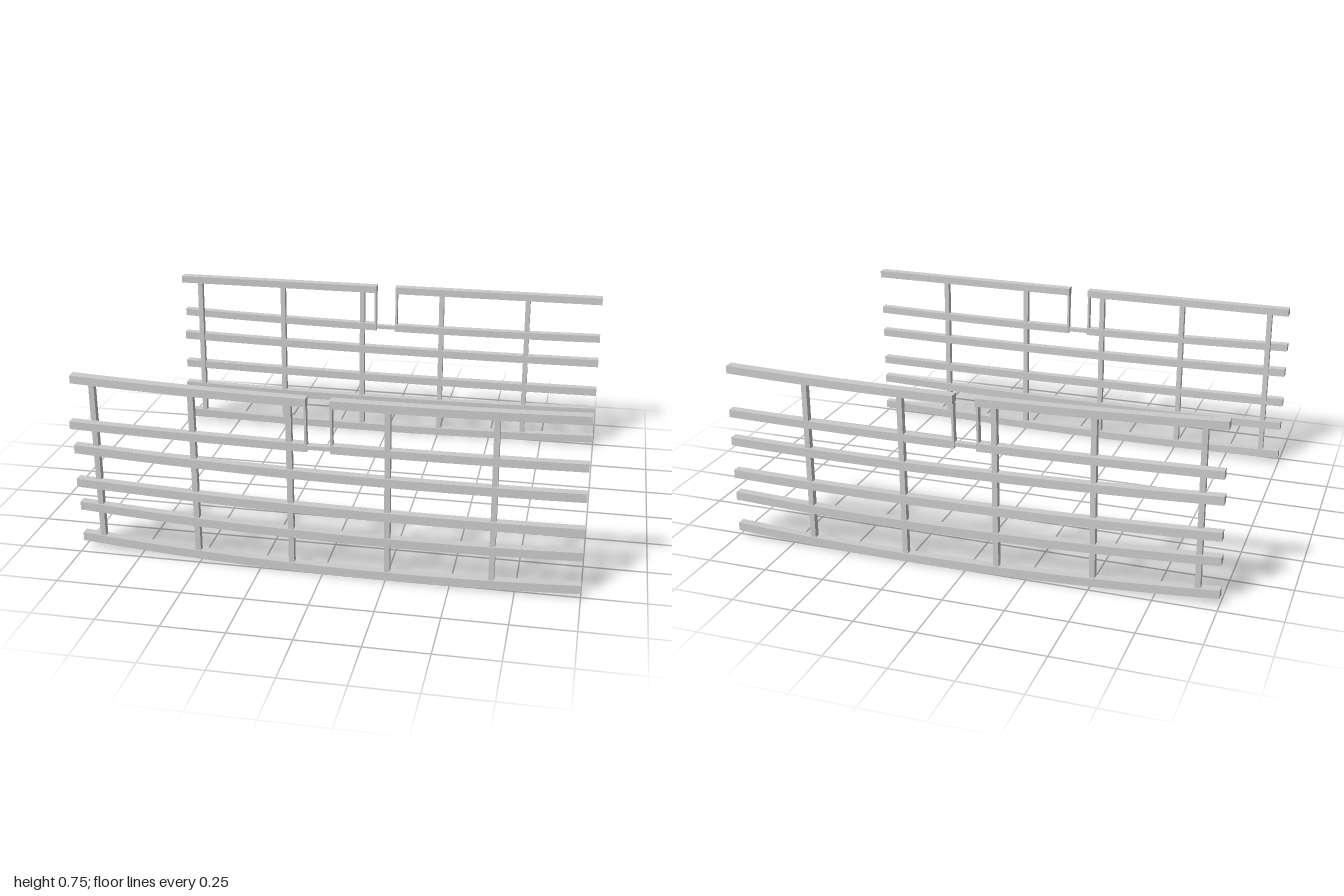
import * as THREE from 'three';

const material = new THREE.MeshStandardMaterial({ color: 0xcccccc, flatShading: true });

// Smooth bend through values given at x = -1, 0.25 and 1
function bend([a, b, c]) {
  const s1 = (b - a) / 1.25, s2 = (c - b) / 0.75, k = (s2 - s1) / 2;
  return x => a + s1 * (x + 1) + k * (x + 1) * (x - 0.25);
}

// Rails, top to bottom: height and outward distance at the three stations, section size
const rails = [
  { name: 'topRail', y: [0.732, 0.719, 0.725], z: [0.704, 0.75, 0.735], h: 0.032, d: 0.041, split: true },
  { name: 'secondRail', y: [0.555, 0.533, 0.54], z: [0.742, 0.742, 0.742], h: 0.032, d: 0.035, split: true },
  { name: 'thirdRail', y: [0.443, 0.416, 0.42], z: [0.717, 0.746, 0.744], h: 0.035, d: 0.036 },
  { name: 'fourthRail', y: [0.298, 0.273, 0.276], z: [0.717, 0.746, 0.744], h: 0.035, d: 0.036 },
  { name: 'fifthRail', y: [0.189, 0.163, 0.177], z: [0.7, 0.742, 0.742], h: 0.035, d: 0.036 },
  { name: 'bottomRail', y: [0.049, 0.018, 0.038], z: [0.696, 0.742, 0.742], h: 0.035, d: 0.036 },
].map(r => ({ ...r, y: bend(r.y), z: bend(r.z) }));

const gap = [-0.055, 0.035];

// Bar running along x, following the bend of its rail
function railBar(rail, x0, x1, side) {
  const geo = new THREE.BoxGeometry(x1 - x0, rail.h, rail.d, 12, 1, 1);
  const p = geo.attributes.position;
  for (let i = 0; i < p.count; i++) {
    const x = p.getX(i) + (x0 + x1) / 2;
    p.setXYZ(i, x, p.getY(i) + rail.y(x), p.getZ(i) + side * rail.z(x));
  }
  geo.computeVertexNormals();
  const mesh = new THREE.Mesh(geo, material);
  mesh.name = rail.name;
  return mesh;
}

// Upright between two rails, leaning to meet both
function upright(name, x, upper, lower, w, d, side) {
  const geo = new THREE.BoxGeometry(w, 1, d);
  const p = geo.attributes.position;
  for (let i = 0; i < p.count; i++) {
    const rail = p.getY(i) > 0 ? upper : lower;
    p.setXYZ(i, p.getX(i) + x, rail.y(x), p.getZ(i) + side * rail.z(x));
  }
  geo.computeVertexNormals();
  const mesh = new THREE.Mesh(geo, material);
  mesh.name = name;
  return mesh;
}

function railing(name, side) {
  const group = new THREE.Group();
  group.name = name;
  for (const rail of rails) {
    const spans = rail.split ? [[-1, gap[0]], [gap[1], 1]] : [[-1, 1]];
    for (const [a, b] of spans) group.add(railBar(rail, a, b, side));
  }
  for (const x of [-0.915, -0.51, -0.125, 0.255, 0.66])
    group.add(upright('post', x, rails[0], rails[5], 0.022, 0.025, side));

  // Thin frame around the opening
  for (const x of [gap[0] - 0.005, gap[1] + 0.005])
    group.add(upright('gapPost', x, rails[0], rails[1], 0.009, 0.025, side));
  group.add(railBar({ ...rails[1], name: 'gapSill', h: 0.016, d: 0.025 }, gap[0] - 0.01, gap[1] + 0.01, side));
  return group;
}

export function createModel() {
  const model = new THREE.Group();
  model.name = 'railings';
  model.add(railing('frontRailing', 1), railing('backRailing', -1));
  return model;
}
